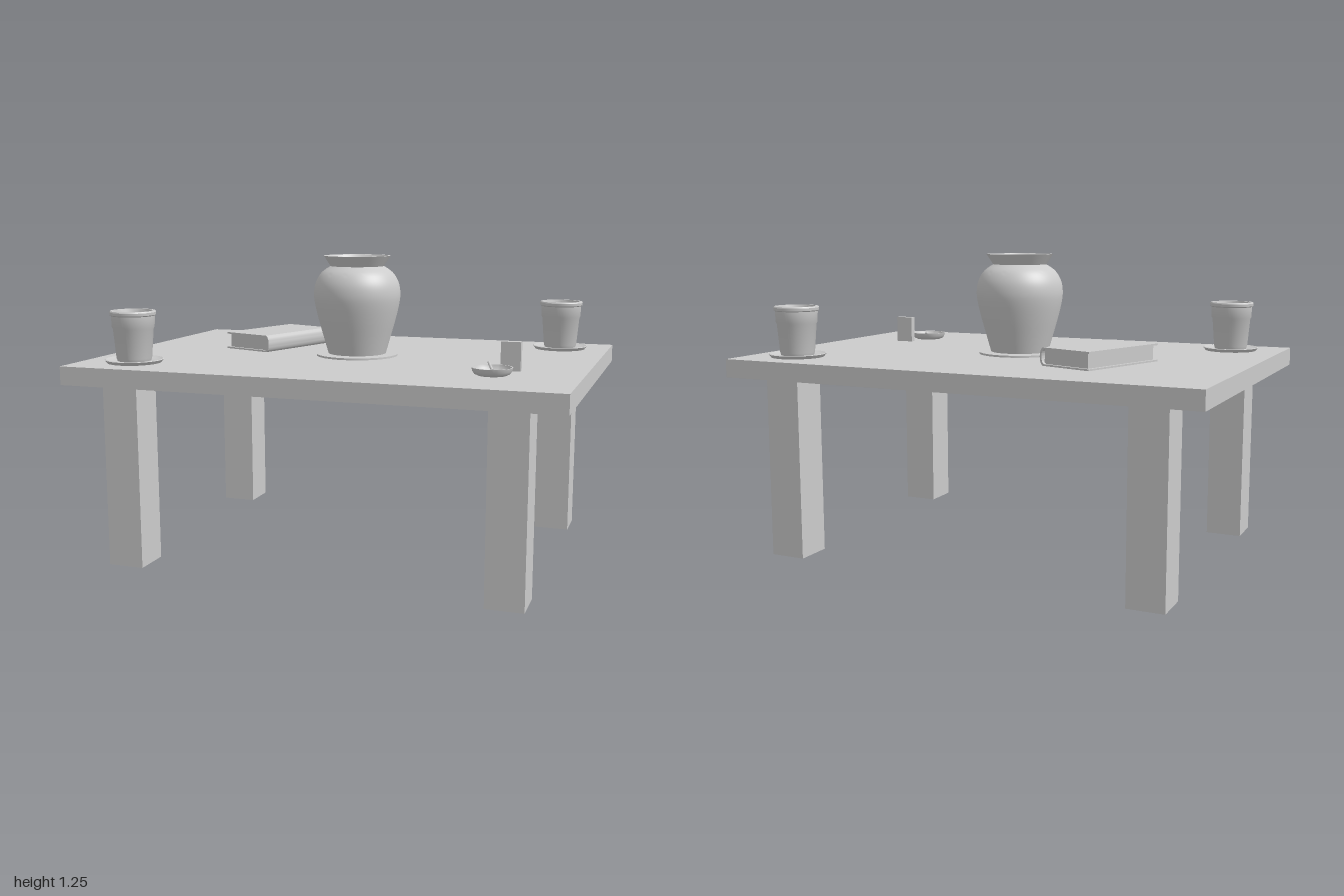
import * as THREE from 'three';
import { toCreasedNormals } from 'three/addons/utils/BufferGeometryUtils.js';

const TOP = 0.825; // height of the table surface
const material = new THREE.MeshStandardMaterial({ color: 0xcccccc, side: THREE.DoubleSide });

function add(parent, name, geometry, x = 0, y = 0, z = 0) {
  const mesh = new THREE.Mesh(geometry, material);
  mesh.name = name;
  mesh.position.set(x, y, z);
  parent.add(mesh);
  return mesh;
}

function group(parent, name, x, z) {
  const g = new THREE.Group();
  g.name = name;
  g.position.set(x, TOP, z);
  parent.add(g);
  return g;
}

const box = (w, h, d) => new THREE.BoxGeometry(w, h, d);
const v2 = (pts) => pts.map(([r, y]) => new THREE.Vector2(r, y));
// Profiles run from the bottom axis outward, up, and back down the inside.
const lathe = (pts, segments = 48) =>
  toCreasedNormals(new THREE.LatheGeometry(v2(pts), segments), 0.6);

function addTable(parent) {
  const table = new THREE.Group();
  table.name = 'table';
  parent.add(table);
  add(table, 'tableTop', box(2, 0.075, 1.4), 0, 0.7875, 0);
  for (const sx of [-1, 1]) for (const sz of [-1, 1])
    add(table, 'tableLeg', box(0.15, 0.75, 0.155), sx * 0.78, 0.375, sz * 0.547);
}

function addVase(parent) {
  const vase = group(parent, 'vase', 0.005, 0);
  add(vase, 'vaseMat', new THREE.CylinderGeometry(0.172, 0.172, 0.008, 48), 0, 0.004, 0);
  // Smooth belly, sharp neck, flared rim
  const belly = new THREE.SplineCurve(v2([
    [0.122, 0.01], [0.142, 0.08], [0.163, 0.155], [0.178, 0.22],
    [0.182, 0.265], [0.174, 0.31], [0.15, 0.35], [0.112, 0.377],
  ])).getPoints(28).map((p) => [p.x, p.y]);
  const inside = belly.map(([r, y]) => [r - 0.012, Math.max(y, 0.022)]).reverse();
  add(vase, 'vaseBody', lathe([
    [0, 0.01], ...belly, [0.14, 0.42], [0.13, 0.42], ...inside, [0, 0.022],
  ], 64));
}

function addPot(parent, x, z) {
  const pot = group(parent, 'flowerPot', x, z);
  add(pot, 'saucer', lathe([
    [0, 0], [0.108, 0], [0.118, 0.013], [0.114, 0.015], [0.098, 0.008], [0, 0.008],
  ]));
  add(pot, 'pot', lathe([
    [0, 0.008], [0.067, 0.008], [0.071, 0.02], [0.081, 0.138], [0.085, 0.145],
    [0.087, 0.19], [0.092, 0.194], [0.093, 0.205], [0.09, 0.21], [0.079, 0.21],
    [0.076, 0.2], [0.072, 0.14], [0.061, 0.02], [0, 0.02],
  ]));
}

function addBook(parent) {
  const book = group(parent, 'book', -0.43, -0.19);
  book.rotation.y = -0.33;
  const W = 0.25, H = 0.072, L = 0.425, T = 0.007;
  for (const y of [T / 2, H - T / 2])
    add(book, 'bookCover', box(W - 0.018, T, L), -0.009, y, 0);
  add(book, 'bookPages', box(W - 0.03, H - 2 * T, L - 0.024), -0.002, H / 2, 0);
  // Rounded spine, extruded along the length of the book
  const s = new THREE.Shape();
  const x0 = W / 2 - 0.018;
  s.moveTo(x0, 0);
  s.bezierCurveTo(W / 2 + 0.004, 0.006, W / 2 + 0.004, H - 0.006, x0, H);
  s.lineTo(x0 - 0.006, H - T);
  s.bezierCurveTo(W / 2 - 0.006, H - 0.014, W / 2 - 0.006, 0.014, x0 - 0.006, T);
  s.closePath();
  const spine = new THREE.ExtrudeGeometry(s, { depth: L, bevelEnabled: false, curveSegments: 14 });
  add(book, 'bookSpine', toCreasedNormals(spine, 0.6), 0, 0, -L / 2);
}

function addAshtray(parent) {
  const tray = group(parent, 'ashtray', 0.666, 0.377);
  add(tray, 'dish', lathe([
    [0, 0.001], [0.055, 0.001], [0.068, 0.007], [0.075, 0.018], [0.078, 0.031],
    [0.073, 0.031], [0.069, 0.019], [0.06, 0.01], [0, 0.008],
  ]));
  // Thin stick resting on the rim
  const path = new THREE.LineCurve3(
    new THREE.Vector3(-0.004, 0.014, -0.024), new THREE.Vector3(-0.031, 0.038, -0.082));
  add(tray, 'stick', new THREE.TubeGeometry(path, 1, 0.005, 10));
  for (const t of [0, 1]) {
    const cap = add(tray, 'stickEnd', new THREE.CircleGeometry(0.005, 10), ...path.getPoint(t));
    cap.quaternion.setFromUnitVectors(
      new THREE.Vector3(0, 0, 1), path.getTangent(t).multiplyScalar(t ? 1 : -1));
  }
}

export function createModel() {
  const model = new THREE.Group();
  model.name = 'setTable';
  addTable(model);
  addVase(model);
  addPot(model, -0.78, 0.5);
  addPot(model, 0.79, -0.5);
  addBook(model);
  addAshtray(model);
  // Small box standing on its end
  add(model, 'matchbox', box(0.078, 0.113, 0.026), 0.711, TOP + 0.0565, 0.238);
  return model;
}
